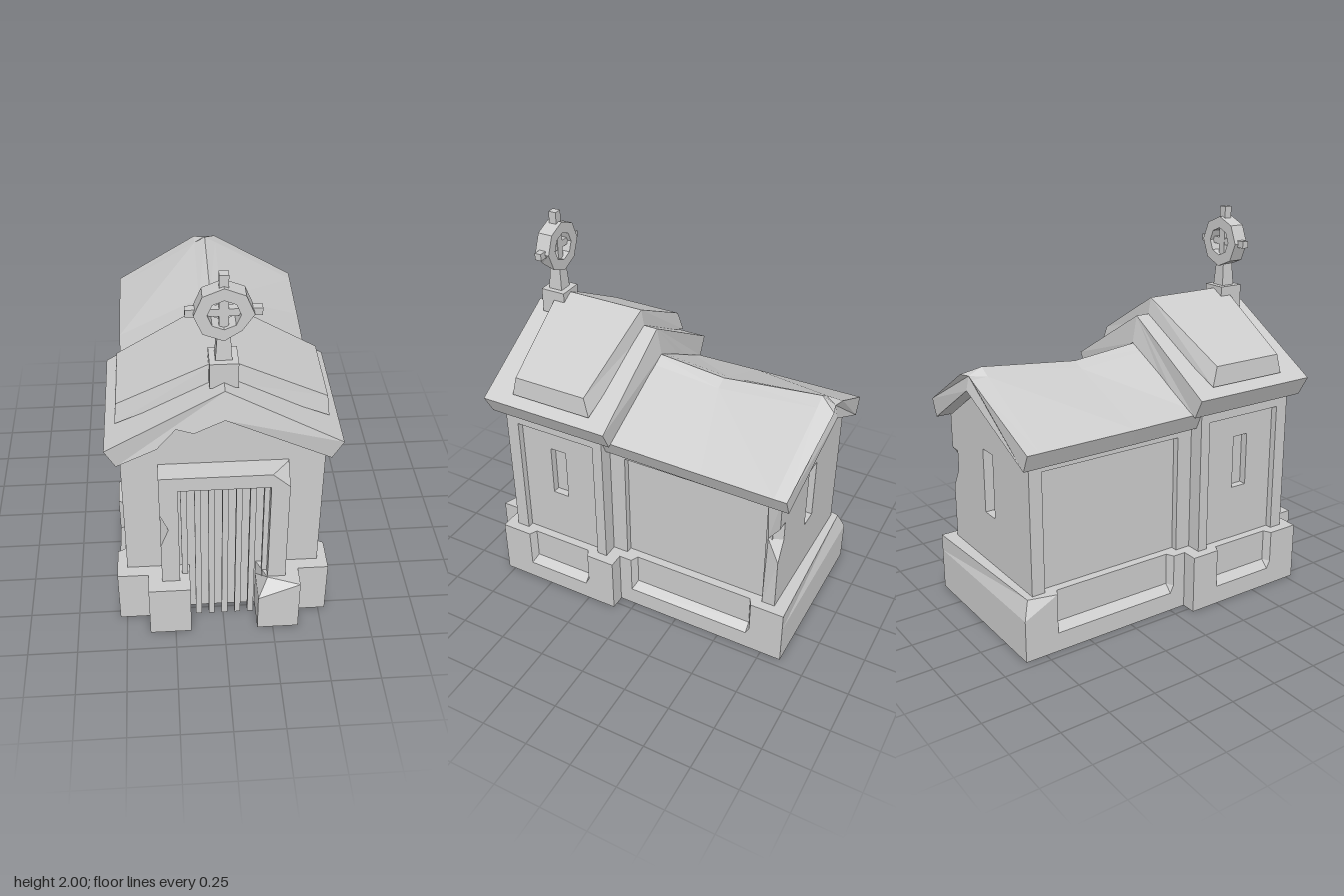
import * as THREE from 'three';

const stone = new THREE.MeshStandardMaterial({ color: 0xcccccc, flatShading: true, side: THREE.DoubleSide });

function add(parent, name, geometry) {
  const mesh = new THREE.Mesh(geometry, stone);
  mesh.name = name;
  parent.add(mesh);
  return mesh;
}

function box(parent, name, w, h, d, x, y, z) {
  return add(parent, name, new THREE.BoxGeometry(w, h, d).translate(x, y, z));
}

// Skin between closed cross-sections; optional end caps for sections lying across z
function loft(sections, capped) {
  const n = sections[0].length, index = [];
  for (let i = 0; i < sections.length - 1; i++) {
    for (let j = 0; j < n; j++) {
      const a = i * n + j, c = i * n + (j + 1) % n, b = a + n, d = c + n;
      index.push(a, b, c, c, b, d);
    }
  }
  if (capped) {
    [0, sections.length - 1].forEach((s, end) => {
      const flat = sections[s].map(p => new THREE.Vector2(p[0], p[1]));
      for (const [a, b, c] of THREE.ShapeUtils.triangulateShape(flat, [])) {
        index.push(s * n + a, s * n + (end ? c : b), s * n + (end ? b : c));
      }
    });
  }
  const g = new THREE.BufferGeometry();
  g.setAttribute('position', new THREE.Float32BufferAttribute(sections.flat(2), 3));
  g.setIndex(index);
  const out = g.toNonIndexed();
  out.computeVertexNormals();
  return out;
}

// Flat slab from an outline, with an optional hole
function slab(points, depth, hole) {
  const shape = new THREE.Shape(points.map(p => new THREE.Vector2(...p)));
  if (hole) shape.holes.push(new THREE.Path(hole.map(p => new THREE.Vector2(...p))));
  return new THREE.ExtrudeGeometry(shape, { depth, bevelEnabled: false });
}

const rect = (a, b, y0, y1) => [[a, y0], [b, y0], [b, y1], [a, y1]];

function editVertices(geometry, rule) {
  const p = geometry.attributes.position, v = new THREE.Vector3();
  for (let i = 0; i < p.count; i++) {
    rule(v.fromBufferAttribute(p, i));
    p.setXYZ(i, v.x, v.y, v.z);
  }
  geometry.computeVertexNormals();
  return geometry;
}

// Side wall: raised frame around a sunken panel, with an optional window slot
function sideWall(parent, s, o) {
  const toSide = (g, x) => g.rotateY(s * Math.PI / 2).translate(s * x, 0, 0);
  const map = pts => pts.map(([z, y]) => [-s * z, y]);
  const outline = [[o.z0, 0.3], [o.p0, 0.3], [o.p0, o.panelTop], [o.p1, o.panelTop], [o.p1, 0.3], [o.z1, 0.3], [o.z1, o.top], [o.z0, o.top]];
  const chipped = o.chip && s > 0;
  if (chipped) outline.push([o.z0, 0.82], [o.z0 + 0.07, 0.71], [o.z0, 0.6]);
  const frame = toSide(slab(map(outline), o.thick), o.x - o.thick);
  if (chipped) {
    editVertices(frame, v => {
      if (Math.abs(v.y - 0.71) > 0.001) return;
      if (v.x > o.x - 0.01) v.x = o.x - 0.03;
      else v.z = o.z0;
    });
  }
  add(parent, 'wallFrame', frame);
  const hole = o.window && map(rect(...o.window));
  add(parent, 'wallPanel', toSide(slab(map(rect(o.p0 - 0.02, o.p1 + 0.02, 0.3, o.panelTop + 0.02)), 0.04, hole), o.x - 0.075));
  if (o.window) {
    const [a, b, c, d] = o.window;
    box(parent, 'windowBack', 0.01, d - c + 0.02, b - a + 0.02, s * (o.x - 0.08), (c + d) / 2, (a + b) / 2);
  }
}

// Plinth with sunken side panels, door blocks and two broken corners
function plinth() {
  const half = [[0.17, 0.73], [0.17, 0.9], [0.38, 0.9], [0.38, 0.79], [0.535, 0.79],
    [0.535, 0.62], [0.535, 0.6, 1], [0.535, 0.265, 1], [0.535, 0.245], [0.535, 0.09],
    [0.455, 0.09], [0.455, 0.02], [0.455, 0, 1], [0.455, -0.66, 1], [0.455, -0.68], [0.455, -0.86]];
  const ring = (y, inset, chip, inner) => {
    const side = s => half.map(([x, z, sunk], i) => {
      let px = sunk ? x - inset : x, pz = z;
      if (chip && s > 0 && i === 1) { px = 0.22; pz = 0.84; }
      if (chip && s < 0 && i === half.length - 1) { px -= 0.035; pz += 0.035; }
      if (inner) {
        px = Math.min(px, z > 0.1 ? 0.45 : 0.37);
        pz = THREE.MathUtils.clamp(pz, -0.78, 0.7);
      }
      return [s * px, y, pz];
    });
    return [...side(1), ...side(-1).reverse()].reverse();
  };
  return loft([ring(0, 0), ring(0.1, 0), ring(0.14, 0.04), ring(0.22, 0.04), ring(0.31, 0.04, true), ring(0.31, 0.04, true, true)]);
}

// Front roof slab: chevron with a notch broken from its front lower edge
function frontRoof() {
  const under = (x, z) => [x, 1.34 - 0.56 * Math.abs(x), z];
  const section = (eave, tip, edge, notch) => [
    [-0.5, 1.06, eave], under(-0.31, eave + (tip - eave) * 0.38), notch, under(-0.14, eave + (tip - eave) * 0.72),
    [0, 1.34, tip], [0.5, 1.06, eave], [0.55, 1.16, edge], [0, 1.48, edge], [-0.55, 1.16, edge]];
  return loft([section(0.8, 0.84, 0.81, [-0.22, 1.275, 0.81]), section(0.1, 0.075, 0.1, under(-0.22, 0.09))], true);
}

// Raised slab lying on the front roof
function upperRoof() {
  const section = (low, lowTip, top, topTip) => [[-0.5, 1.2, low], [0, 1.45, lowTip], [0.5, 1.2, low],
    [0.49, 1.3, top], [0, 1.565, topTip], [-0.49, 1.3, top]];
  return loft([section(0.66, 0.7, 0.64, 0.68), section(0.21, 0.17, 0.24, 0.19)], true);
}

// Rear roof with a sagging ridge and a broken tip
function rearRoof() {
  const section = (w, ridge, zL, zMid, zR, tip = ridge, zTip = zMid) => {
    const near = 1.07 + (ridge - 1.07) * (1 - 0.06 / w);
    return [[-w + 0.04, 0.98, zL], [0, ridge - 0.1, zMid], [w - 0.04, 0.98, zR],
      [w, 1.07, zR], [0.06, near, zMid], [0, tip, zTip], [-0.06, near, zMid], [-w, 1.07, zL]];
  };
  return loft([section(0.485, 1.345, 0.155, 0.155, 0.155), section(0.495, 1.3, -0.25, -0.28, -0.4),
    section(0.5, 1.355, -0.78, -0.8, -0.78), section(0.5, 1.35, -0.845, -0.885, -0.845, 1.32, -0.87)], true);
}

// Door surround with a broken top corner and a chipped jamb
function doorSurround() {
  const section = (z, jamb, corner) => [[-0.31, 0.3, z], [-0.22, 0.3, z], [-0.22, 0.92, z], [0.22, 0.92, z], [0.22, 0.3, z],
    [0.31, 0.3, z], [0.31, 0.92, z], [0.31, 1, corner], [0.225, 1, z], [-0.31, 1, z],
    [-0.31, 0.77, z], [jamb, 0.67, z], [-0.31, 0.56, z]];
  return loft([section(0.835, -0.27, 0.74), section(0.72, -0.31, 0.72)], true);
}

// Ringed cross on a small pedestal
function finial() {
  const g = new THREE.Group();
  g.name = 'finial';
  const z = 0.68, y = 1.815;
  box(g, 'pedestal', 0.13, 0.13, 0.135, 0, 1.515, z);
  add(g, 'post', new THREE.CylinderGeometry(0.042, 0.054, 0.13, 4).rotateY(Math.PI / 4).translate(0, 1.635, z));
  const octagon = r => Array.from({ length: 8 }, (_, i) => [r * Math.cos(i * Math.PI / 4), r * Math.sin(i * Math.PI / 4)]);
  const ring = editVertices(slab(octagon(0.132), 0.08, octagon(0.073)), v => {
    if (v.z > 0.04 && v.x > 0.08 && v.y < -0.08) { v.x *= 0.85; v.y *= 0.85; }
  });
  add(g, 'ring', ring.translate(0, y, z - 0.04));
  box(g, 'crossUpright', 0.042, 0.32, 0.042, 0, 1.84, z);
  box(g, 'crossArm', 0.335, 0.036, 0.036, 0, y, z);
  return g;
}

export function createModel() {
  const model = new THREE.Group();
  model.name = 'crypt';
  add(model, 'plinth', plinth());

  // Side walls of the front and rear halves
  for (const s of [1, -1]) {
    sideWall(model, s, { x: 0.485, z0: 0.155, z1: 0.73, p0: 0.21, p1: 0.66, panelTop: 1.01, top: 1.065, thick: 0.08, window: [0.4, 0.49, 0.6, 0.885] });
    sideWall(model, s, { x: 0.405, z0: -0.79, z1: 0.16, p0: -0.72, p1: 0.07, panelTop: 0.935, top: 1.0, thick: 0.06, chip: true });
  }

  // Gable walls
  add(model, 'frontGable', slab([[-0.48, 1.06], [-0.43, 1.06], [-0.43, 0.3], [0.43, 0.3], [0.43, 1.06], [0.48, 1.06], [0, 1.345]], 0.05).translate(0, 0, 0.68));
  add(model, 'rearGable', slab([[-0.4, 1], [-0.345, 1], [-0.345, 0.3], [0.345, 0.3], [0.345, 1], [0.4, 1], [0, 1.26]], 0.05, rect(-0.05, 0.05, 0.58, 0.92)).translate(0, 0, -0.79));
  box(model, 'rearWindowBack', 0.12, 0.36, 0.01, 0, 0.75, -0.735);

  // Doorway
  add(model, 'doorSurround', doorSurround());
  for (let i = 0; i < 7; i++) box(model, 'doorBar', 0.03, 0.92, 0.03, -0.193 + i * 0.067, 0.46, 0.775);

  // Roofs
  add(model, 'frontRoof', frontRoof());
  add(model, 'upperRoof', upperRoof());
  add(model, 'rearRoof', rearRoof());
  model.add(finial());
  return model;
}
